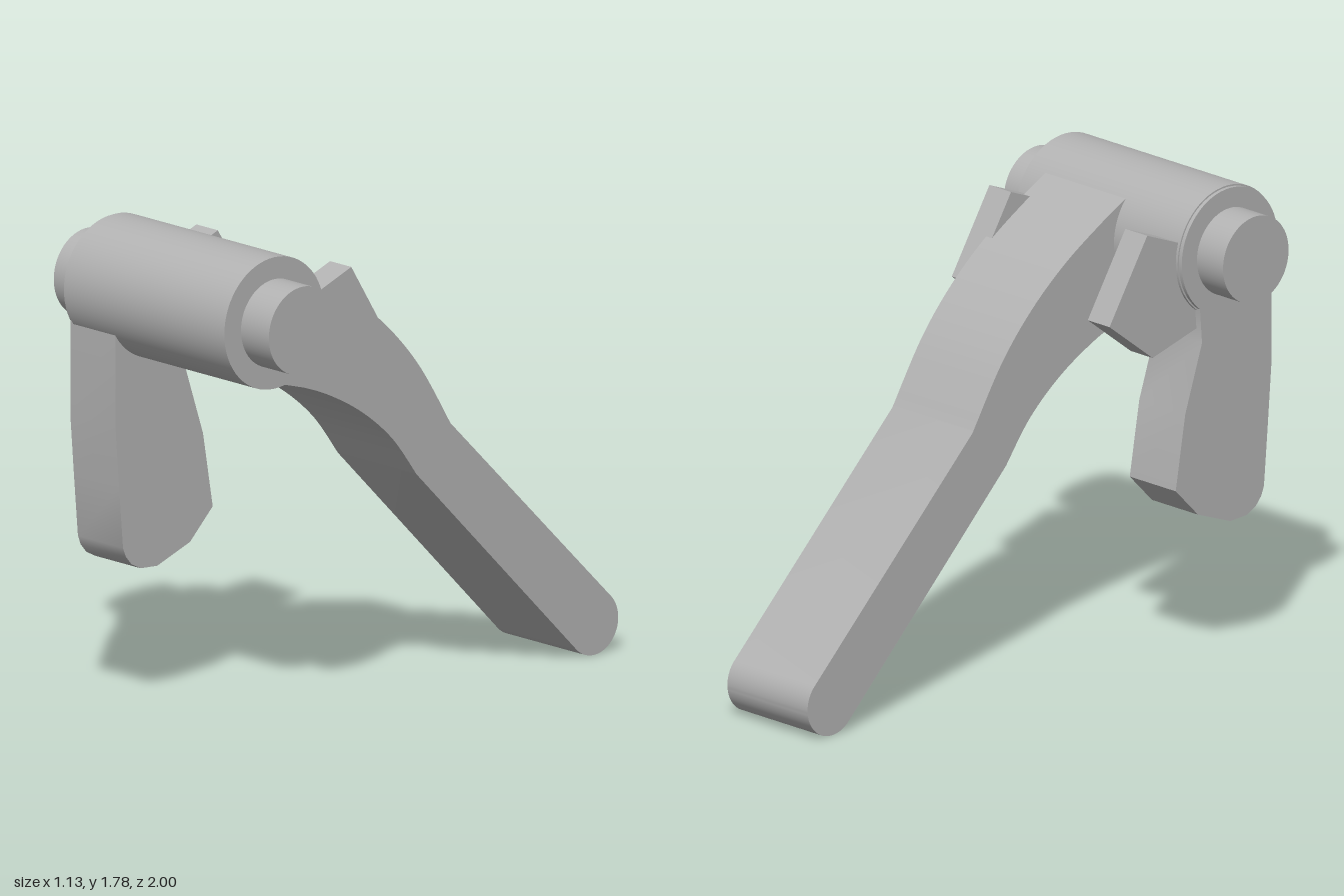
import * as THREE from 'three';
import { toCreasedNormals } from 'three/addons/utils/BufferGeometryUtils.js';

const AXIS_Z = 0.757, AXIS_Y = 1.535;

export function createModel() {
  const group = new THREE.Group();
  const steel = new THREE.MeshStandardMaterial({ color: 0xb2b2b2 });
  steel.name = 'plain grey';

  const add = (name, geometry) => {
    const mesh = new THREE.Mesh(geometry, steel);
    mesh.name = name;
    group.add(mesh);
  };

  // Side profile drawn in (z, y), extruded from x0 to x1
  const plate = (name, shape, x0, x1) => {
    const g = new THREE.ExtrudeGeometry(shape, { depth: x1 - x0, bevelEnabled: false, curveSegments: 20 });
    g.rotateY(-Math.PI / 2).translate(x1, 0, 0);
    add(name, toCreasedNormals(g, 0.42));
  };

  // Cylinder lying along x on the pivot axis
  const roller = (name, radius, x0, x1) => {
    const g = new THREE.CylinderGeometry(radius, radius, x1 - x0, 64);
    g.rotateZ(Math.PI / 2).translate((x0 + x1) / 2, AXIS_Y, AXIS_Z);
    add(name, g);
  };

  const polygon = (points) => new THREE.Shape(points.map(([z, y]) => new THREE.Vector2(z, y)));

  // Pivot
  roller('barrel', 0.243, -0.42, 0.418);
  roller('pivotPin', 0.162, -0.57, 0.565);
  roller('fingerHub', 0.237, -0.435, -0.2);

  // Long lever: curved neck, straight shank, rounded tip
  const lever = new THREE.Shape();
  lever.moveTo(0.66, 1.45);
  lever.lineTo(0.572, 1.693);
  lever.lineTo(0.46, 1.632);
  lever.splineThru([[0.28, 1.52], [0.11, 1.38], [-0.04, 1.21], [-0.185, 0.98]].map(([z, y]) => new THREE.Vector2(z, y)));
  lever.lineTo(-0.965, 0.203);
  lever.absarc(-0.881, 0.119, 0.119, Math.PI * 0.75, Math.PI * 1.75, false);
  lever.lineTo(-0.02, 0.82);
  lever.splineThru([[0.1, 0.975], [0.25, 1.1], [0.42, 1.195], [0.58, 1.255], [0.72, 1.297]].map(([z, y]) => new THREE.Vector2(z, y)));
  plate('lever', lever, -0.09, 0.325);

  // Pair of side lugs
  const lug = polygon([[0.7, 1.55], [0.53, 1.61], [0.373, 1.672], [0.187, 1.37], [0.4, 1.207], [0.7, 1.295]]);
  plate('leftLug', lug, 0.295, 0.407);
  plate('rightLug', lug, -0.41, -0.297);

  // Short hanging finger
  plate('finger', polygon([
    [0.963, 1.42], [0.963, 1.07], [0.945, 0.84], [0.926, 0.615], [0.912, 0.58], [0.885, 0.548], [0.84, 0.525],
    [0.76, 0.52], [0.6, 0.58], [0.49, 0.692], [0.537, 0.97], [0.62, 1.22], [0.61, 1.35], [0.76, 1.5],
  ]), -0.435, -0.197);

  return group;
}
